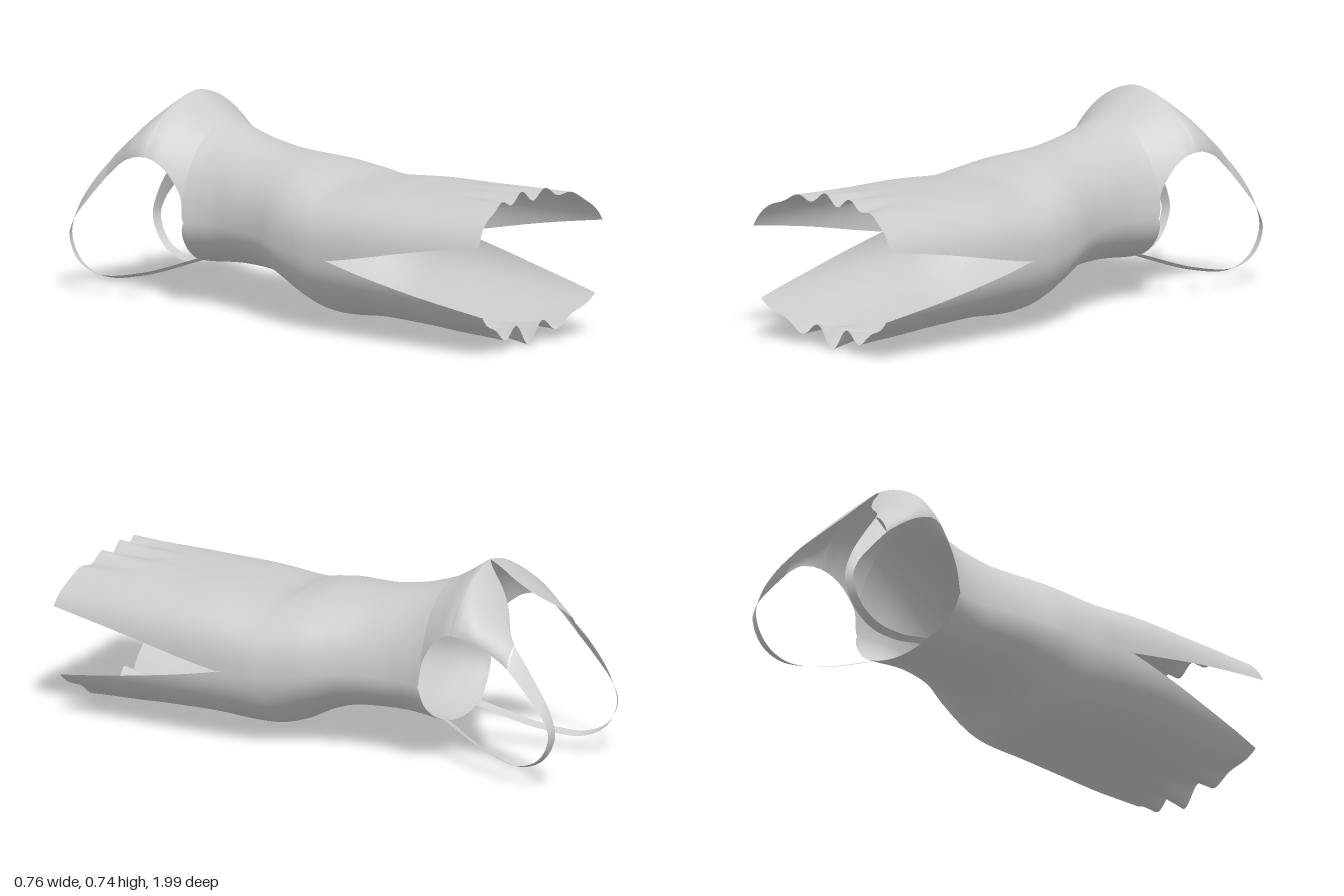
import * as THREE from 'three';
import { mergeVertices, mergeGeometries } from 'three/addons/utils/BufferGeometryUtils.js';

const COLS = 44, SUB = 9;

// Body stations, hem to chest: z, half width, side seam y, front y, back y, front and back roundness
const BODY = [
  [0.93, 0.362, 0.28, 0.542, 0.042, 2.9, 2.2],
  [0.75, 0.369, 0.28, 0.54, 0.034, 2.9, 2.2],
  [0.6, 0.375, 0.28, 0.535, 0.04, 2.9, 2.2],
  [0.4, 0.378, 0.28, 0.53, 0.045, 2.9, 2.2],
  [0.2, 0.369, 0.285, 0.519, 0.03, 2.7, 2.1],
  [0.1, 0.35, 0.29, 0.54, 0.05, 2.5, 2.1],
  [0, 0.325, 0.3, 0.561, 0.1, 2.3, 2.1],
  [-0.1, 0.288, 0.31, 0.57, 0.133, 2.2, 2],
  [-0.2, 0.26, 0.315, 0.58, 0.144, 2.1, 2],
  [-0.32, 0.242, 0.315, 0.603, 0.146, 2.1, 2],
  [-0.4, 0.249, 0.312, 0.628, 0.142, 2, 2],
  [-0.455, 0.261, 0.31, 0.647, 0.137, 2, 2],
];
// Continuations: z, outer x, base y, inner x, inner y, roundness, part of the height cut away at the armhole
const CUP = [
  [-0.472, 0.267, 0.318, 0, 0.655, 2, 0.25],
  [-0.52, 0.293, 0.36, 0, 0.683, 1.9, 0.37],
  [-0.57, 0.306, 0.43, 0, 0.716, 1.8, 0.32],
  [-0.605, 0.302, 0.485, 0, 0.738, 1.7, 0.19],
  [-0.622, 0.299, 0.508, 0.014, 0.725, 1.75, 0.12],
  [-0.645, 0.296, 0.522, 0.028, 0.702, 1.8, 0.06],
  [-0.69, 0.29, 0.518, 0.052, 0.655, 1.9, 0],
  [-0.74, 0.275, 0.492, 0.1, 0.6, 1.9, 0],
  [-0.79, 0.26, 0.455, 0.175, 0.54, 1.8, 0],
  [-0.82, 0.255, 0.43, 0.2, 0.505, 1.5, 0],
];
const YOKE = [
  [-0.472, 0.263, 0.308, 0, 0.136, 2, 0.5],
  [-0.482, 0.263, 0.306, 0, 0.135, 2, 0.72],
  [-0.495, 0.263, 0.305, 0, 0.135, 2, 0.86],
];

// Smooth interpolation through a list of stations
function sample(keys, t) {
  const i = Math.min(Math.floor(t), keys.length - 2), f = t - i;
  const at = k => keys[Math.max(0, Math.min(keys.length - 1, k))];
  return keys[i].map((p1, c) => {
    const p0 = at(i - 1)[c], p2 = at(i + 1)[c], p3 = at(i + 2)[c];
    return p1 + 0.5 * f * (p2 - p0 + f * (2 * p0 - 5 * p1 + 4 * p2 - p3 + f * (3 * (p1 - p2) + p3 - p0)));
  });
}

// Grid surface from rows of points
function grid(rows, flip) {
  const n = rows[0].length, index = [];
  for (let r = 0; r < rows.length - 1; r++) {
    for (let c = 0; c < n - 1; c++) {
      const a = r * n + c, b = a + 1, d = a + n, e = d + 1;
      index.push(...(flip ? [a, d, b, b, d, e] : [a, b, d, b, e, d]));
    }
  }
  const g = new THREE.BufferGeometry();
  g.setAttribute('position', new THREE.Float32BufferAttribute(rows.flat(2), 3));
  g.setIndex(index);
  return g;
}

// One half panel: each row runs from the side to the centre or neckline
function panel(front, side) {
  const body = BODY.map(([z, w, seam, top, bottom, nf, nb]) => [z, w, seam, 0, front ? top : bottom, front ? nf : nb, 0]);
  const keys = body.concat(front ? CUP : YOKE), rows = [];
  const count = (keys.length - 1) * SUB;
  for (let r = 0; r <= count; r++) {
    const [z, xo, yo, xi, yi, n, armhole] = sample(keys, r / SUB);
    // Side slit opens toward the hem
    const slit = Math.max(0, (z - 0.3) / 0.63) * 0.13 / Math.abs(yi - yo);
    const cut = Math.max(0, armhole) + slit;
    const start = Math.atan2(cut, (1 - cut ** n) ** (1 / n));
    const ramp = Math.max(0, (z - 0.6) / 0.33) ** 2;
    const inner = Math.max(0, xi), row = [];
    for (let c = 0; c <= COLS; c++) {
      const a = start + c / COLS * (Math.PI / 2 - start);
      const co = c === COLS ? 0 : Math.cos(a), si = Math.sin(a);
      const rad = 1 / (co ** n + si ** n) ** (1 / n);
      const x = side * (inner + (xo - inner) * rad * co);
      // Gathered folds at the hem
      const fold = front
        ? -0.021 * Math.cos((x - 0.025) * 48) * Math.exp(-((x / 0.2) ** 2))
        : -0.042 * Math.cos(x * 41) * Math.exp(-((x / 0.17) ** 2));
      const y = yo + (yi - yo) * rad * si + ramp * fold;
      row.push([x, y, z + ramp * 0.06 * (x / 0.36) ** 2]);
    }
    rows.push(row);
  }
  return grid(rows, front !== (side > 0));
}

// Shoulder strap: a ribbon between an outer and an inner edge
function strap(side) {
  const curve = pts => new THREE.CatmullRomCurve3(pts.map(p => new THREE.Vector3(side * p[0], p[1], p[2])));
  const outer = curve([
    [0.255, 0.43, -0.82], [0.255, 0.345, -0.9], [0.255, 0.265, -0.965], [0.255, 0.2, -0.988],
    [0.253, 0.115, -0.95], [0.242, 0.072, -0.86], [0.2, 0.09, -0.7], [0.135, 0.158, -0.495],
  ]);
  const inner = curve([
    [0.2, 0.505, -0.82], [0.219, 0.41, -0.9], [0.225, 0.3, -0.972], [0.225, 0.2, -1],
    [0.222, 0.107, -0.955], [0.21, 0.06, -0.86], [0.167, 0.078, -0.7], [0.1, 0.148, -0.495],
  ]);
  const rows = [];
  for (let i = 0; i <= 70; i++) {
    const a = outer.getPoint(i / 70), b = inner.getPoint(i / 70);
    rows.push([0, 0.25, 0.5, 0.75, 1].map(f => a.clone().lerp(b, f).toArray()));
  }
  return grid(rows, side < 0);
}

export function createModel() {
  const group = new THREE.Group();
  const material = new THREE.MeshStandardMaterial({ color: 0xcccccc, side: THREE.DoubleSide });
  const add = (name, geometry) => {
    geometry.computeVertexNormals();
    const mesh = new THREE.Mesh(geometry, material);
    mesh.name = name;
    group.add(mesh);
  };
  const halves = [panel(true, 1), panel(true, -1), panel(false, 1), panel(false, -1)];
  add('dressBody', mergeVertices(mergeGeometries(halves), 1e-4));
  add('leftStrap', strap(1));
  add('rightStrap', strap(-1));
  return group;
}
